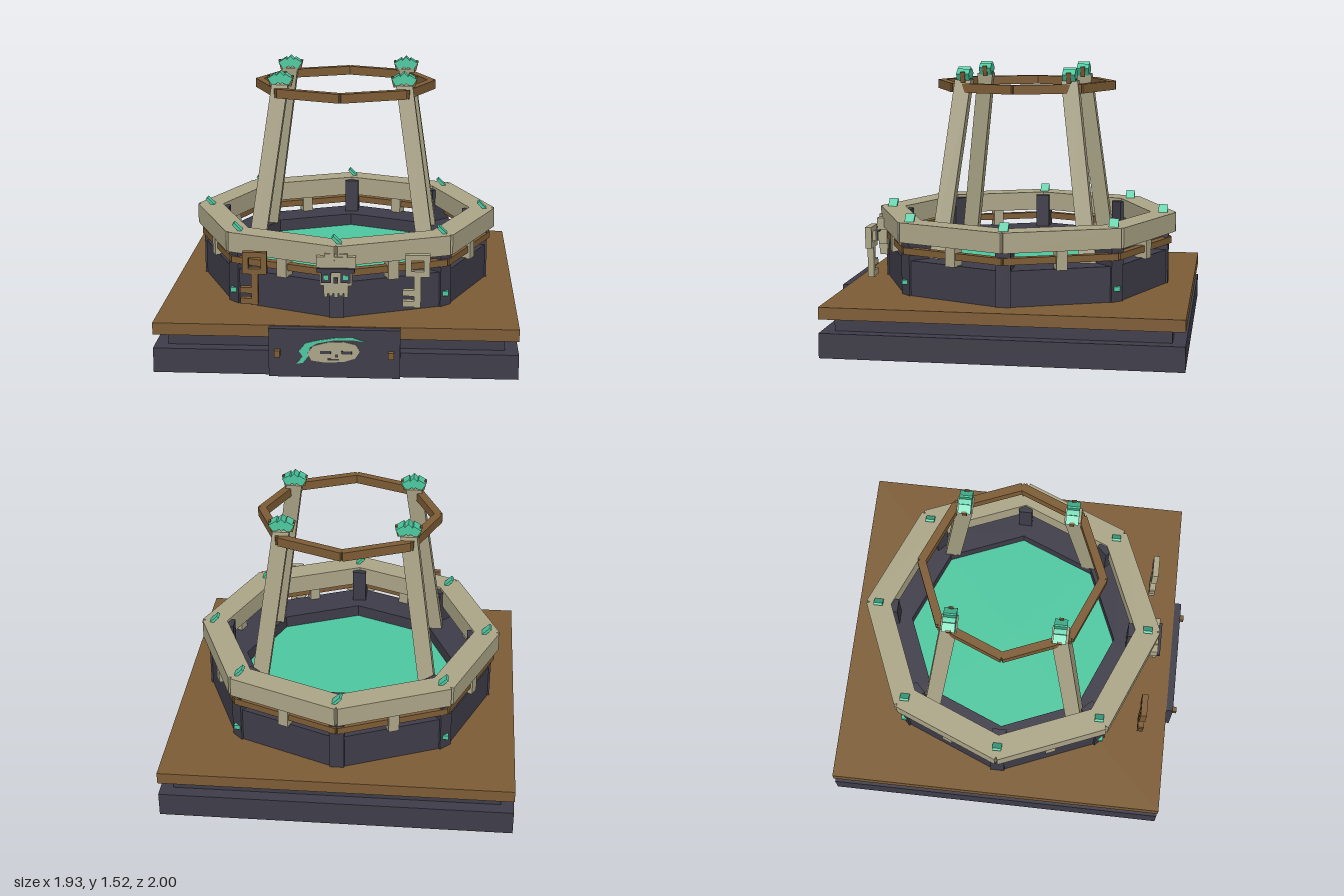
import * as THREE from 'three';

const mat = (name, color) => {
  const m = new THREE.MeshStandardMaterial({ color });
  m.name = name;
  return m;
};

export function createModel() {
  const slate = mat('slate', 0x3e3c48);
  const wood = mat('wood', 0x7d5c35);
  const bone = mat('bone', 0xaba587);
  const jade = mat('jade', 0x4dc8a0);

  const root = new THREE.Group();
  root.name = 'octagonalWell';
  const well = new THREE.Group();
  well.name = 'well';
  well.position.z = -0.035;
  root.add(well);

  const add = (parent, name, geo, material, x = 0, y = 0, z = 0) => {
    const m = new THREE.Mesh(geo, material);
    m.name = name;
    m.position.set(x, y, z);
    parent.add(m);
    return m;
  };
  const box = (parent, name, material, w, h, d, x, y, z) =>
    add(parent, name, new THREE.BoxGeometry(w, h, d), material, x, y, z);

  // eight straight segments around the centre, corners on the axes
  const ring = (name, material, inner, outer, y0, y1, length) => {
    const g = new THREE.Group();
    g.name = name;
    for (let i = 0; i < 8; i++) {
      const a = (i + 0.5) * Math.PI / 4, r = (inner + outer) / 2;
      const s = box(g, name + 'Segment', material, outer - inner, y1 - y0, length,
        Math.cos(a) * r, (y0 + y1) / 2, Math.sin(a) * r);
      s.rotation.y = -a;
    }
    well.add(g);
  };

  // stepped square base
  box(well, 'basePlinth', slate, 1.93, 0.135, 1.93, 0, 0.0675, 0);
  box(well, 'baseStep', slate, 1.79, 0.08, 1.79, 0, 0.172, 0);
  box(well, 'baseDeck', wood, 1.93, 0.065, 1.93, 0, 0.2425, 0);

  // basin, hoop, rim and liquid
  ring('basinWall', slate, 0.56, 0.765, 0.27, 0.47, 0.6);
  ring('woodHoop', wood, 0.735, 0.778, 0.503, 0.54, 0.63);
  ring('rim', bone, 0.663, 0.8, 0.57, 0.68, 0.645);
  ring('rimSupport', bone, 0.72, 0.79, 0.465, 0.575, 0.06);
  add(well, 'liquid', new THREE.CylinderGeometry(0.66, 0.66, 0.125, 8), jade, 0, 0.3375, 0);

  // corner posts and tilted charms on the rim
  for (let i = 0; i < 8; i++) {
    const a = i * Math.PI / 4, c = Math.cos(a), s = Math.sin(a);
    const post = box(well, 'cornerPost', slate, 0.145, 0.39, 0.08, c * 0.75, 0.47, s * 0.75);
    post.rotation.y = -a;
    const charm = box(well, 'rimCharm', jade, 0.06, 0.016, 0.052, c * 0.79, 0.695, s * 0.79);
    charm.rotation.z = -Math.PI / 4;
    if (i % 2) box(well, 'wallStud', jade, 0.042, 0.025, 0.045, c * 0.815, 0.347, s * 0.815);
  }

  // four leaning legs with a crystal cluster on each
  for (const sx of [-1, 1]) for (const sz of [-1, 1]) {
    const geo = new THREE.BoxGeometry(0.09, 0.98, 0.09);
    const p = geo.attributes.position;
    for (let i = 0; i < p.count; i++) {
      const t = p.getY(i) / 0.98 + 0.5;
      p.setX(i, p.getX(i) + sx * (0.482 - 0.14 * t));
      p.setZ(i, p.getZ(i) + sz * (0.416 - 0.122 * t));
    }
    geo.computeVertexNormals();
    add(well, 'leg', geo, bone, 0, 0.955, 0);

    const cap = new THREE.Group();
    cap.name = 'crystalCluster';
    cap.position.set(sx * 0.34, 1.44, sz * 0.292);
    for (const k of [-1, 0, 1]) {
      const g = box(cap, 'crystal', jade, 0.05, 0.05, 0.07, k * 0.035, k ? 0.03 : 0.04, 0);
      g.rotation.z = k ? -k * 0.55 : Math.PI / 4;
    }
    for (const k of [-1, 1]) {
      const t = box(cap, 'twig', wood, 0.012, 0.06, 0.025, k * 0.06, 0.02, 0);
      t.rotation.z = -k * 0.25;
    }
    well.add(cap);
  }
  ring('crownHoop', wood, 0.43, 0.475, 1.375, 1.425, 0.38);

  // hanging keys
  const key = (name, material, x) => {
    const g = new THREE.Group();
    g.name = name;
    g.position.set(x, 0, 0.777);
    for (const k of [-1, 1]) {
      box(g, 'bowSide', material, 0.032, 0.12, 0.035, k * 0.049, 0.57, 0);
      box(g, 'bowBar', material, 0.068, 0.03, 0.035, 0, 0.57 + k * 0.045, 0);
    }
    box(g, 'shaft', material, 0.036, 0.175, 0.035, 0, 0.4275, 0);
    for (const y of [0.42, 0.36]) box(g, 'tooth', material, 0.062, 0.032, 0.035, -0.047, y, 0);
    root.add(g);
  };
  key('woodKey', wood, -0.435);
  key('boneKey', bone, 0.43);

  // skull on the front of the rim
  const skull = new THREE.Group();
  skull.name = 'skull';
  box(skull, 'crown', bone, 0.12, 0.02, 0.05, 0, 0.628, 0.8);
  box(skull, 'cranium', bone, 0.21, 0.068, 0.055, 0, 0.588, 0.8);
  box(skull, 'face', bone, 0.17, 0.09, 0.05, 0, 0.51, 0.8);
  box(skull, 'cheeks', bone, 0.13, 0.04, 0.05, 0, 0.455, 0.8);
  box(skull, 'brow', slate, 0.2, 0.022, 0.03, 0, 0.552, 0.83);
  box(skull, 'noseHole', slate, 0.022, 0.03, 0.008, 0, 0.495, 0.829);
  for (const k of [-1, 1]) {
    box(skull, 'eyeSocket', slate, 0.052, 0.062, 0.016, k * 0.052, 0.515, 0.831);
    box(skull, 'eye', jade, 0.024, 0.024, 0.008, k * 0.052, 0.515, 0.841);
  }
  for (let i = -2; i <= 2; i++)
    box(skull, 'tooth', bone, 0.02, i % 2 ? 0.025 : 0.04, 0.045, i * 0.027, 0.42, 0.8);
  box(skull, 'jaw', bone, 0.13, 0.025, 0.045, 0, 0.433, 0.8);
  root.add(skull);

  // front plaque with a mask and a curling flame
  const plaque = new THREE.Group();
  plaque.name = 'plaque';
  box(plaque, 'plaqueBoard', slate, 0.69, 0.265, 0.04, 0, 0.1385, 0.95);
  for (const k of [-1, 1]) box(plaque, 'peg', wood, 0.03, 0.035, 0.032, k * 0.298, 0.14, 0.984);
  const plate = (name, pts, material, z) => {
    const s = new THREE.Shape();
    s.setFromPoints(pts.map(([x, y]) => new THREE.Vector2(x, y)));
    add(plaque, name, new THREE.ExtrudeGeometry(s, { depth: 0.004, bevelEnabled: false }), material, 0, 0, z);
  };
  plate('mask', [[-0.14, 0.14], [-0.12, 0.1], [-0.05, 0.09], [0.05, 0.095], [0.11, 0.115],
    [0.135, 0.155], [0.115, 0.19], [0.05, 0.205], [-0.04, 0.2], [-0.11, 0.18]], bone, 0.971);
  plate('flame', [[-0.2, 0.08], [-0.165, 0.085], [-0.13, 0.13], [-0.13, 0.17], [-0.09, 0.195],
    [0, 0.213], [0.1, 0.215], [0.17, 0.205], [0.1, 0.228], [0.02, 0.228], [-0.08, 0.212],
    [-0.15, 0.195], [-0.185, 0.15], [-0.165, 0.12]], jade, 0.97);
  for (const x of [-0.045, 0.065]) box(plaque, 'maskEye', slate, 0.055, 0.016, 0.004, x, 0.147, 0.975);
  box(plaque, 'maskNose', slate, 0.016, 0.016, 0.004, 0.012, 0.128, 0.975);
  box(plaque, 'maskMouth', slate, 0.06, 0.008, 0.004, -0.005, 0.108, 0.975);
  root.add(plaque);

  return root;
}
